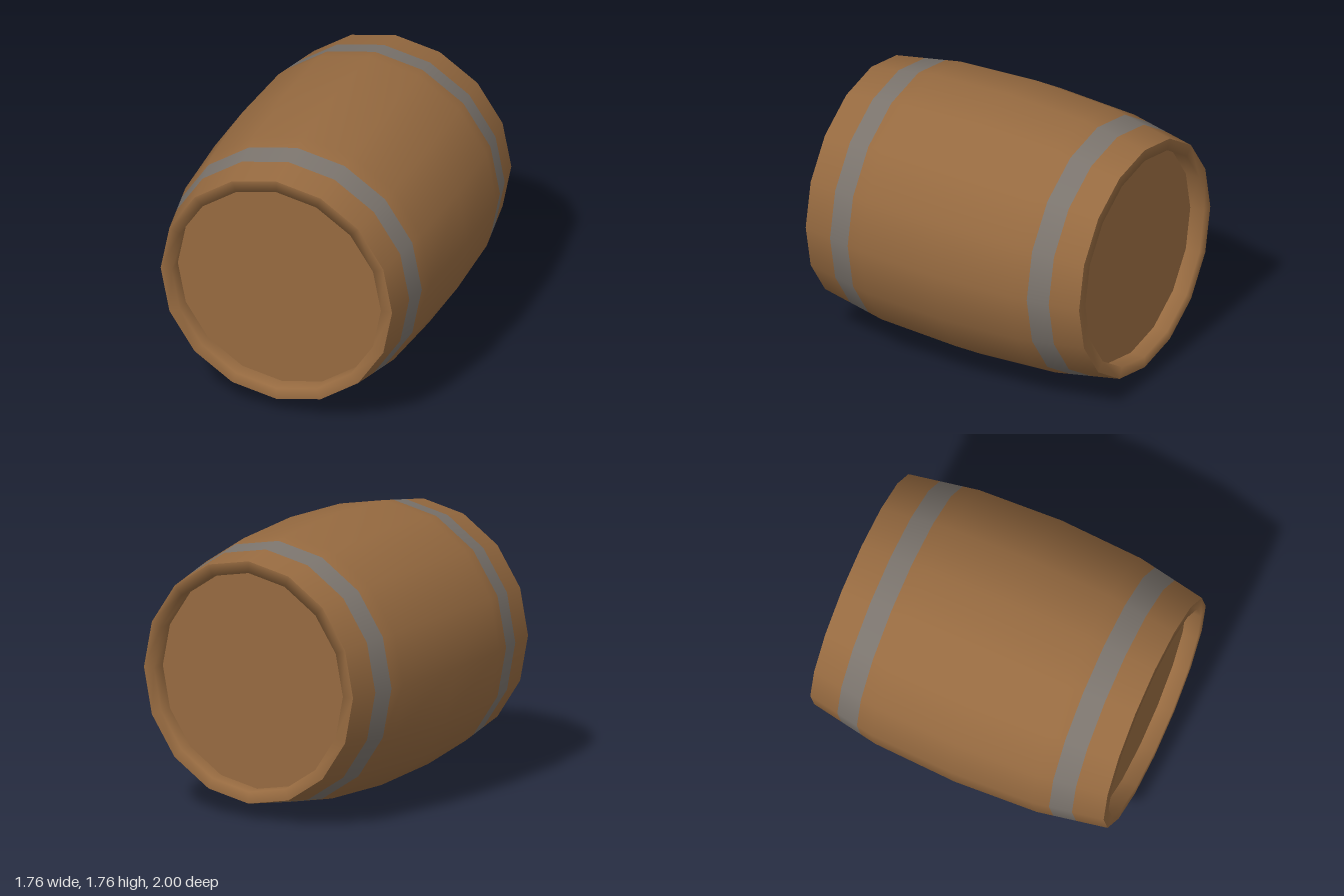
import * as THREE from 'three';

const SIDES = 16;
const CENTRE_Y = 0.88;

// Barrel radius on the straight run between the bulge and the end
const endRadius = (z) => 0.855 + ((z - 0.55) / 0.45) * (0.775 - 0.855);

// Turned shape lying along z; points are [radius, z]
function turned(name, points, material) {
  const profile = points.map(([r, z]) => new THREE.Vector2(r, z));
  const geometry = new THREE.LatheGeometry(profile, SIDES);
  geometry.rotateX(Math.PI / 2);
  const mesh = new THREE.Mesh(geometry, material);
  mesh.name = name;
  return mesh;
}

export function createModel() {
  const wood = new THREE.MeshStandardMaterial({ color: 0x966a40 });
  wood.name = 'wood';
  const iron = new THREE.MeshStandardMaterial({ color: 0x7b746d });
  iron.name = 'iron';

  const barrel = new THREE.Group();
  barrel.name = 'barrel';

  // Bulging middle of the staves
  const r = endRadius(0.655);
  barrel.add(turned('middleStaves', [
    [r, -0.655], [0.855, -0.55], [0.88, 0], [0.855, 0.55], [r, 0.655],
  ], wood));

  // Matching front and back ends
  for (const side of ['front', 'back']) {
    const end = new THREE.Group();
    end.name = side + 'End';
    // Flush hoop
    end.add(turned('hoop', [[r, 0.655], [endRadius(0.8), 0.8]], iron));
    // Staves beyond the hoop
    end.add(turned('endStaves', [[endRadius(0.8), 0.8], [0.775, 1]], wood));
    // Flat rim and the wall of the recess
    end.add(turned('rim', [[0.775, 1], [0.7, 1], [0.7, 0.9]], wood));
    // Sunken lid
    end.add(turned('lid', [[0.7, 0.9], [0, 0.9]], wood));
    if (side === 'back') end.rotation.y = Math.PI;
    barrel.add(end);
  }

  barrel.position.y = CENTRE_Y;
  const model = new THREE.Group();
  model.name = 'model';
  model.add(barrel);
  return model;
}
